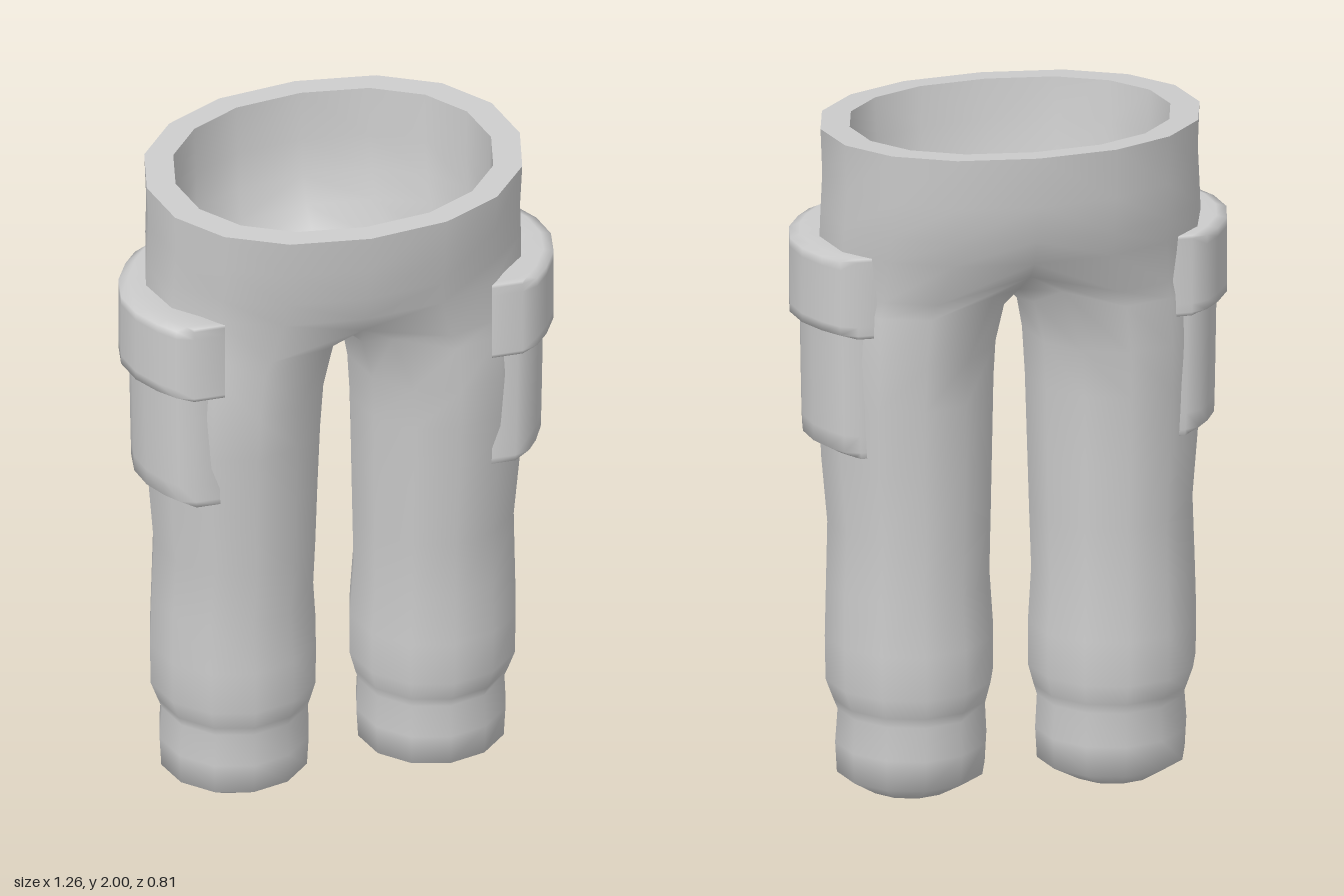
import * as THREE from 'three';
import { mergeVertices } from 'three/addons/utils/BufferGeometryUtils.js';

// Leg rings from hem to thigh: y, inner x, outer x, front z, back z
const LEG = [
  [0.0, 0.165, 0.42, 0.12, 0.14],
  [0.05, 0.075, 0.5, 0.2, 0.22],
  [0.14, 0.07, 0.505, 0.205, 0.225],
  [0.24, 0.075, 0.498, 0.2, 0.22],
  [0.27, 0.066, 0.51, 0.212, 0.23],
  [0.33, 0.05, 0.532, 0.23, 0.246],
  [0.46, 0.05, 0.534, 0.23, 0.242],
  [0.62, 0.06, 0.53, 0.225, 0.232],
  [0.8, 0.055, 0.525, 0.24, 0.236],
  [1.0, 0.05, 0.542, 0.256, 0.242],
  [1.2, 0.045, 0.548, 0.276, 0.252],
  [1.34, 0.037, 0.55, 0.29, 0.264],
];
// Hip rings up to the waist: y, half width, front z, back z
const HIPS = [
  [1.66, 0.548, 0.34, 0.345],
  [1.74, 0.545, 0.36, 0.378],
  [1.85, 0.54, 0.385, 0.396],
  [1.982, 0.545, 0.4, 0.405],
];
const mat = new THREE.MeshStandardMaterial({ color: 0xcccccc });
const V = (x, y, z) => new THREE.Vector3(x, y, z);

// Twelve-sided leg ring: points 0-8 face outward, 9-11 face the other leg
function legRing([y, xi, xo, zf, zb], t) {
  const cx = (xi + xo) / 2, cz = (zf - zb) / 2;
  const rx = (xo - xi) / 2 - t, rz = (zf + zb) / 2 - t;
  return Array.from({ length: 12 }, (_, i) => {
    const a = (120 - 30 * i) * Math.PI / 180;
    return V(cx + rx * Math.cos(a), y, cz + rz * Math.sin(a));
  });
}

// Half of an oval hip ring, from front centre round to back centre
function hipRing([y, a, zf, zb], t, tilt = 0) {
  return Array.from({ length: 9 }, (_, i) => {
    const s = (90 - 22.5 * i) * Math.PI / 180;
    const x = i % 8 ? (a - 1.4 * t) * Math.pow(Math.cos(s), 0.9) : 0;
    const sn = Math.sin(s);
    const z = Math.sign(sn) * Math.pow(Math.abs(sn), 0.95) * ((sn > 0 ? zf : zb) - t);
    return V(x, y - tilt * z, z);
  });
}

// Rings of one half of the trousers; t is the cloth thickness
function halfRings(t) {
  const legs = LEG.map((r, i) => legRing(r, i ? t : 0));
  const thigh = legs[legs.length - 1];
  // Crotch ring: inner points lie on the centre seam
  const hip = hipRing([1.55, 0.55, 0.318, 0.3], t);
  const seam = thigh.map((p, i) => {
    if (i > 8) return V(0, (i === 10 ? 1.455 : 1.505) + t, p.z);
    const q = p.clone().lerp(hip[i], 0.5);
    q.y = 1.53;
    if (i % 8 === 0) q.set(0, 1.6 + t * 0.3, hip[i].z - Math.sign(hip[i].z) * 0.015);
    return q;
  });
  // Ring that rounds the arch between the legs
  const arch = thigh.map((p, i) => {
    const q = p.clone().lerp(seam[i], 0.4);
    q.y = p.y + (seam[i].y - p.y) * 0.75;
    return q;
  });
  const hips = HIPS.map((r, i) => hipRing(r, t, i === 3 ? 0.045 : 0));
  return [...legs, arch, seam, ...hips];
}

// Joins successive rings with quads on both mirrored sides
function skin(rings, inward = false) {
  const pos = [];
  for (const side of [1, -1]) {
    const flip = (side < 0) !== inward;
    for (let r = 0; r + 1 < rings.length; r++) {
      const A = rings[r], B = rings[r + 1];
      const n = B.length === 12 ? 12 : 8;
      for (let i = 0; i < n; i++) {
        const j = (i + 1) % A.length;
        const tris = [[A[i], A[j], B[j]], [A[i], B[j], B[i]]];
        for (const [a, b, c] of tris)
          for (const p of flip ? [a, c, b] : [a, b, c]) pos.push(p.x * side, p.y, p.z);
      }
    }
  }
  return smooth(new THREE.BufferGeometry().setAttribute('position', new THREE.Float32BufferAttribute(pos, 3)));
}

function smooth(g) {
  g.deleteAttribute('uv');
  g.deleteAttribute('normal');
  g = mergeVertices(g, 1e-4);
  g.computeVertexNormals();
  return g;
}

// Soft padded panel wrapped round the outside of the thigh
function panel({ x, y, z, height, width, thick, lean }) {
  const g = new THREE.BoxGeometry(2, 2, 2, 1, 8, 8);
  const p = g.attributes.position;
  for (let i = 0; i < p.count; i++) {
    const u = p.getZ(i), v = p.getY(i), outer = p.getX(i) > 0;
    const dz = Math.sin(u * Math.PI / 2) * width / 2;
    const dy = Math.sin(v * Math.PI / 2) * height / 2;
    const border = Math.max(Math.abs(u), Math.abs(v)) > 0.99;
    const depth = outer ? (border ? 0.03 : 0) : thick;
    p.setXYZ(i, x + lean * v - 2.1 * dz * dz - depth, y + dy, z + dz);
  }
  return smooth(g);
}

export function createModel() {
  const model = new THREE.Group();
  model.name = 'cargoTrousers';
  const add = (name, geometry, parent = model) => {
    const m = new THREE.Mesh(geometry, mat);
    m.name = name;
    parent.add(m);
    return m;
  };

  // Cloth shell: outside, lining and waist rim
  const outer = halfRings(0), inner = halfRings(0.06);
  add('outerCloth', skin(outer));
  add('lining', skin(inner, true));
  add('waistRim', skin([outer[outer.length - 1], inner[inner.length - 1]]));

  // Cargo pockets with flaps, mirrored left and right
  const pocket = panel({ x: 0.594, y: 1.28, z: 0.028, height: 0.46, width: 0.42, thick: 0.1, lean: 0.006 });
  const flap = panel({ x: 0.628, y: 1.54, z: 0.028, height: 0.24, width: 0.474, thick: 0.12, lean: 0 });
  for (const side of [1, -1]) {
    const group = new THREE.Group();
    group.name = side > 0 ? 'leftPocket' : 'rightPocket';
    add('pocketBag', pocket, group);
    add('pocketFlap', flap, group);
    group.scale.x = side;
    model.add(group);
  }
  return model;
}
